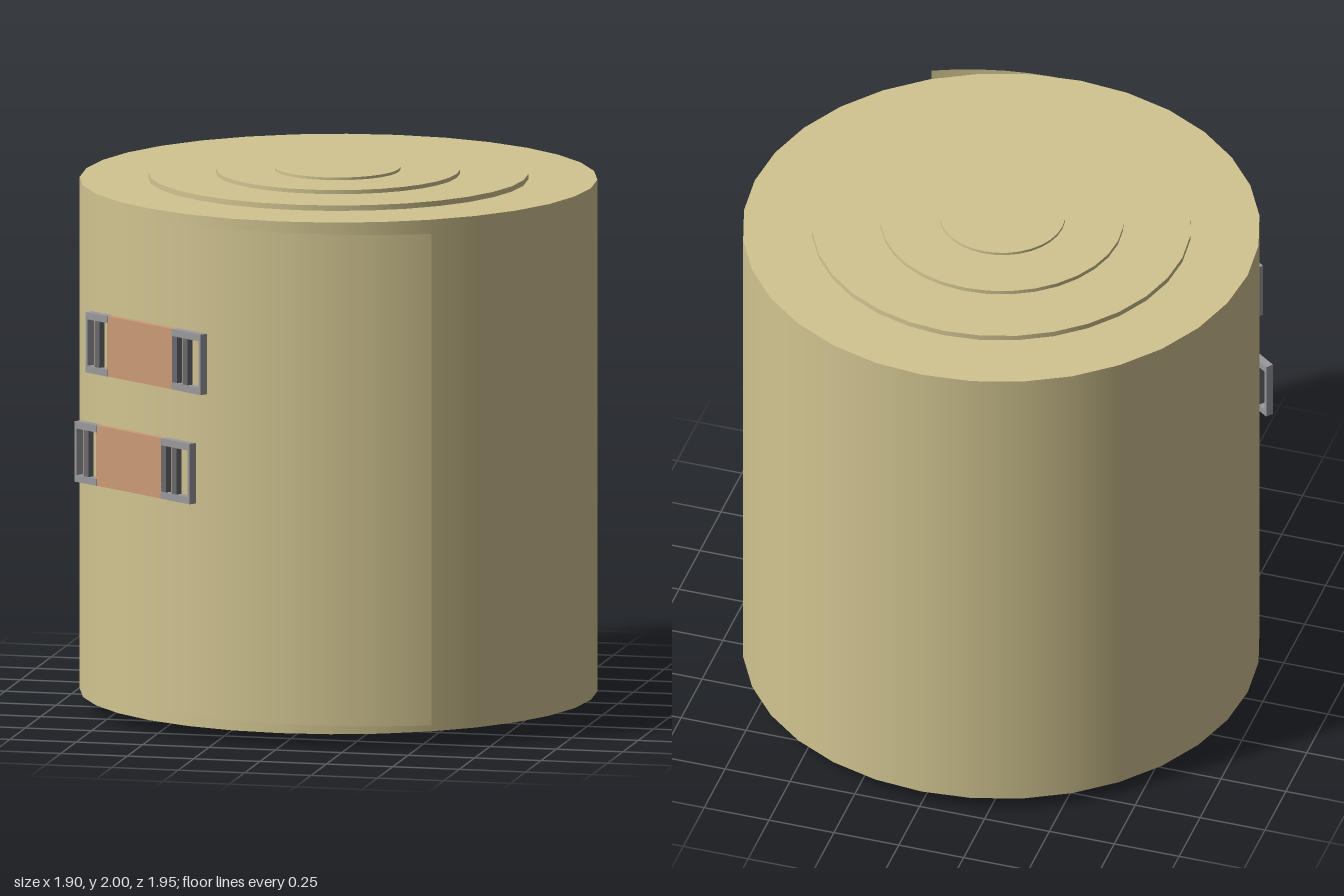
import * as THREE from 'three';

const mat = (color, side = THREE.FrontSide) => new THREE.MeshStandardMaterial({ color, side });
const tan = mat(0xd2c591);
const copper = mat(0xcd9d78);
const grey = mat(0x9a9a9e);
const darkGrey = mat(0x6a6a6e);

function add(parent, name, geometry, material, x = 0, y = 0, z = 0) {
  const mesh = new THREE.Mesh(geometry, material);
  mesh.name = name;
  mesh.position.set(x, y, z);
  parent.add(mesh);
  return mesh;
}

// Upright 32-sided cylinder between two heights
function disc(parent, name, radius, y0, y1, z) {
  add(parent, name, new THREE.CylinderGeometry(radius, radius, y1 - y0, 32), tan, 0, (y0 + y1) / 2, z);
}

// Flat strap held between two open grey frames; local x runs along the strap
function buckle(name, x, y, z) {
  const g = new THREE.Group();
  g.name = name;
  const box = (part, x0, x1, h, d, m, py = 0) =>
    add(g, part, new THREE.BoxGeometry(x1 - x0, h, d), m, (x0 + x1) / 2, py, 0);
  box('strap', -0.205, 0.165, 0.225, 0.024, copper);
  for (const s of [-1, 1]) {
    box('leftRail', -0.322, -0.2, 0.026, 0.03, grey, s * 0.0995);
    box('rightRail', 0.16, 0.322, 0.026, 0.03, grey, s * 0.0995);
  }
  box('leftEndBar', -0.322, -0.31, 0.2, 0.03, grey);
  box('rightEndBar', 0.31, 0.322, 0.2, 0.03, grey);
  for (const t of [-0.262, 0.173, 0.232]) box('crossBar', t - 0.014, t + 0.014, 0.175, 0.024, darkGrey);
  g.position.set(x, y, z);
  g.rotation.y = -THREE.MathUtils.degToRad(36);
  return g;
}

export function createModel() {
  const model = new THREE.Group();
  model.name = 'roll';

  // Main drum
  disc(model, 'body', 0.95, 0.05, 1.955, -0.025);

  // Stepped discs on both ends
  disc(model, 'topDiscLarge', 0.697, 1.94, 1.975, -0.022);
  disc(model, 'topDiscMedium', 0.447, 1.94, 1.99, -0.015);
  disc(model, 'topDiscSmall', 0.23, 1.94, 2.0, -0.01);
  disc(model, 'bottomDiscLarge', 0.702, 0.035, 0.07, -0.025);
  disc(model, 'bottomDiscMedium', 0.522, 0.02, 0.07, -0.037);
  disc(model, 'bottomDiscSmall', 0.305, 0, 0.07, -0.048);

  // Thin curved flap, its free edge lifting off the drum
  const flap = new THREE.CylinderGeometry(1.1, 1.1, 1.83, 12, 1, true, -0.549, 0.981);
  add(model, 'outerFlap', flap, mat(0xd2c591, THREE.DoubleSide), 0.094, 1.005, -0.138);

  // Two buckled straps
  model.add(buckle('upperBuckle', -0.54, 1.4175, 0.77));
  model.add(buckle('lowerBuckle', -0.59, 1.0025, 0.733));

  return model;
}
